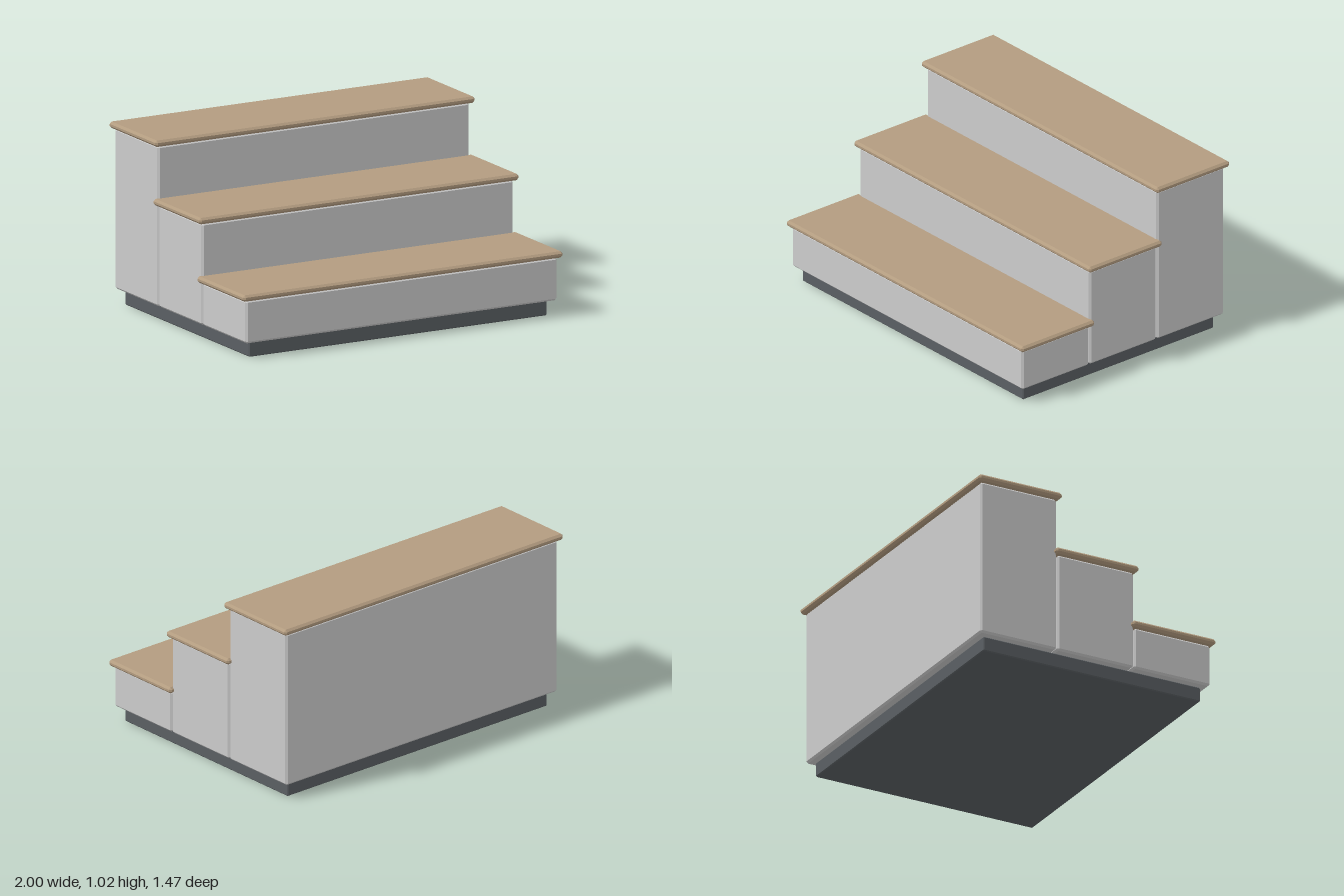
import * as THREE from 'three';
import { ConvexGeometry } from 'three/addons/geometries/ConvexGeometry.js';

// Box with every edge cut by a flat chamfer c
function chamferBox(w, h, d, c) {
  const half = [w / 2, h / 2, d / 2];
  const points = [];
  for (const sx of [-1, 1]) for (const sy of [-1, 1]) for (const sz of [-1, 1]) {
    for (let axis = 0; axis < 3; axis++) {
      const [x, y, z] = half.map((v, i) => (i === axis ? v : v - c));
      points.push(new THREE.Vector3(sx * x, sy * y, sz * z));
    }
  }
  return new ConvexGeometry(points);
}

export function createModel() {
  const model = new THREE.Group();
  model.name = 'steppedPlatform';

  const grey = new THREE.MeshStandardMaterial({ color: 0xcccccc });
  const wood = new THREE.MeshStandardMaterial({ color: 0xb39c80 });
  const dark = new THREE.MeshStandardMaterial({ color: 0x5a5f63 });

  // Places a chamfered block by its bottom, top and centre depth
  const block = (name, material, width, bottom, top, depth, z, chamfer) => {
    const mesh = new THREE.Mesh(chamferBox(width, top - bottom, depth, chamfer), material);
    mesh.name = name;
    mesh.position.set(0, (bottom + top) / 2, z);
    model.add(mesh);
  };

  // Recessed base
  block('plinth', dark, 1.864, 0, 0.085, 1.348, 0, 0.006);

  // Three steps, low at the front to high at the back
  const stepDepth = 0.477, rise = 0.329;
  ['lower', 'middle', 'upper'].forEach((level, i) => {
    const z = (1 - i) * stepDepth;
    const top = 0.327 + i * rise;
    block(level + 'StepBody', grey, 1.948, 0.087, top, 0.473, z, 0.011);
    block(level + 'Tread', wood, 2, top, top + 0.036, 0.516, z, 0.012);
  });

  return model;
}
